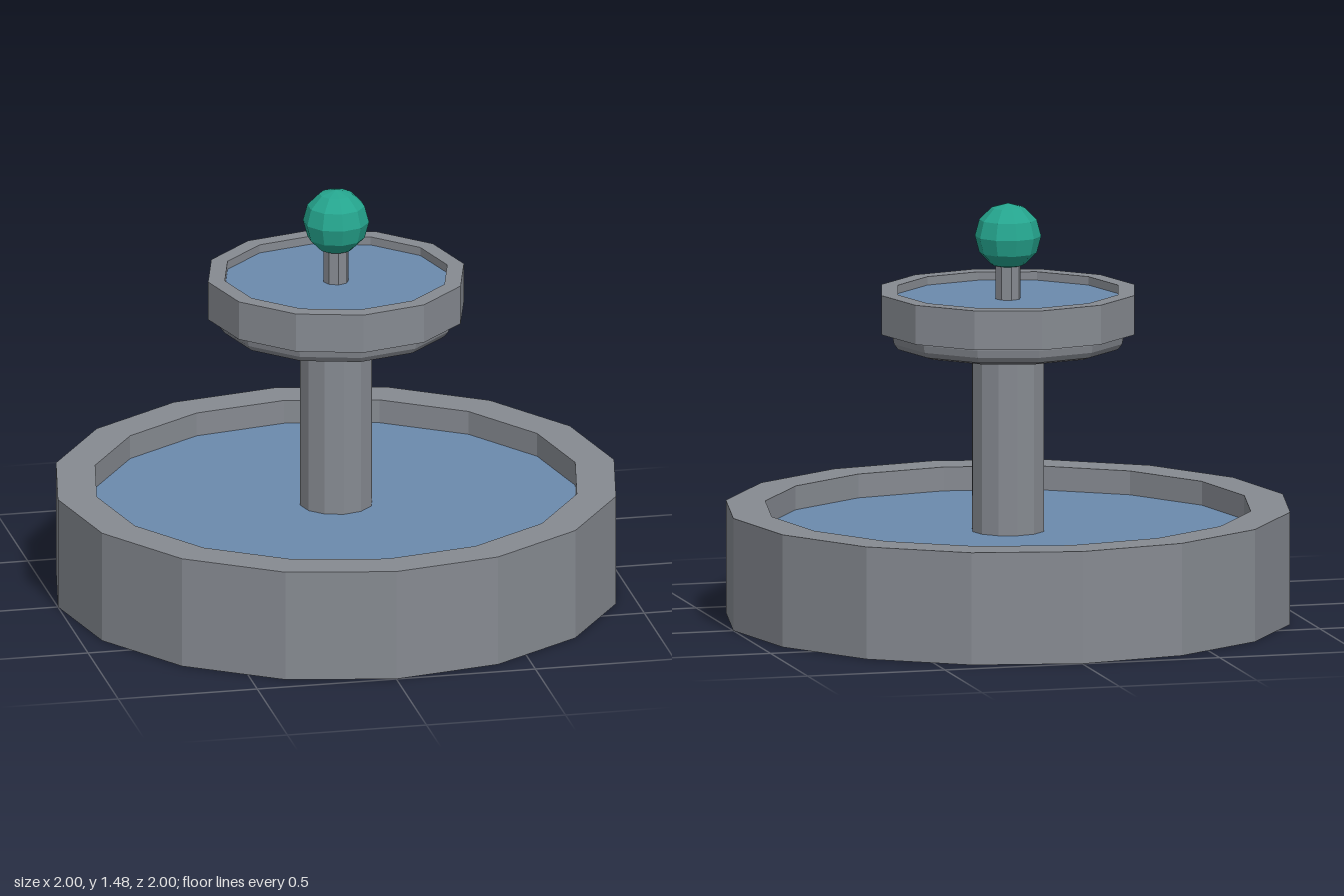
import * as THREE from 'three';

const mat = (name, color) => {
  const m = new THREE.MeshStandardMaterial({ color, flatShading: true });
  m.name = name;
  return m;
};

export function createModel() {
  const stone = mat('stone grey', 0x868a91);
  const darkStone = mat('dark stone', 0x606268);
  const water = mat('water blue', 0x6b8aad);
  const teal = mat('teal', 0x25a58e);

  const model = new THREE.Group();
  model.name = 'fountain';

  const add = (name, geometry, material, y = 0) => {
    const mesh = new THREE.Mesh(geometry, material);
    mesh.name = name;
    mesh.position.y = y;
    model.add(mesh);
    return mesh;
  };

  // Faceted turned solid; points run from the bottom upwards on the outside
  const turned = (points, sides) =>
    new THREE.LatheGeometry(points.map(([r, y]) => new THREE.Vector2(r, y)), sides);

  // Square-section wall with an open centre
  const wall = (outer, inner, y0, y1, sides) =>
    turned([[inner, y0], [outer, y0], [outer, y1], [inner, y1], [inner, y0]], sides);

  // Flat polygon facing up
  const surface = (r, sides) => turned([[r, 0], [0, 0]], sides);

  // Lower basin
  add('lowerBasinWall', wall(1, 0.86, 0, 0.4, 16), stone);
  add('lowerBasinFloor', new THREE.CylinderGeometry(0.86, 0.86, 0.1, 16), darkStone, 0.05);
  add('lowerWater', surface(0.86, 16), water, 0.315);

  // Column with a bevelled top
  add('column', turned([[0.13, 0.1], [0.13, 0.94], [0.12, 0.96], [0.1, 0.97], [0, 0.97]], 12), stone);

  // Upper bowl: rounded underside, wall and water
  add('upperBowlBase', turned([
    [0, 0.965], [0.37, 0.965], [0.4, 0.975], [0.415, 0.995], [0.42, 1.02], [0.42, 1.04], [0, 1.04],
  ], 12), stone);
  add('upperBowlWall', wall(0.46, 0.4, 1.03, 1.17, 12), stone);
  add('upperWater', surface(0.4, 12), water, 1.14);

  // Stem and ball finial
  add('stem', new THREE.CylinderGeometry(0.045, 0.045, 0.2, 8), stone, 1.2);
  const ball = add('finialBall', new THREE.SphereGeometry(0.117, 10, 6), teal, 1.363);
  ball.rotation.y = Math.PI / 2;

  return model;
}
